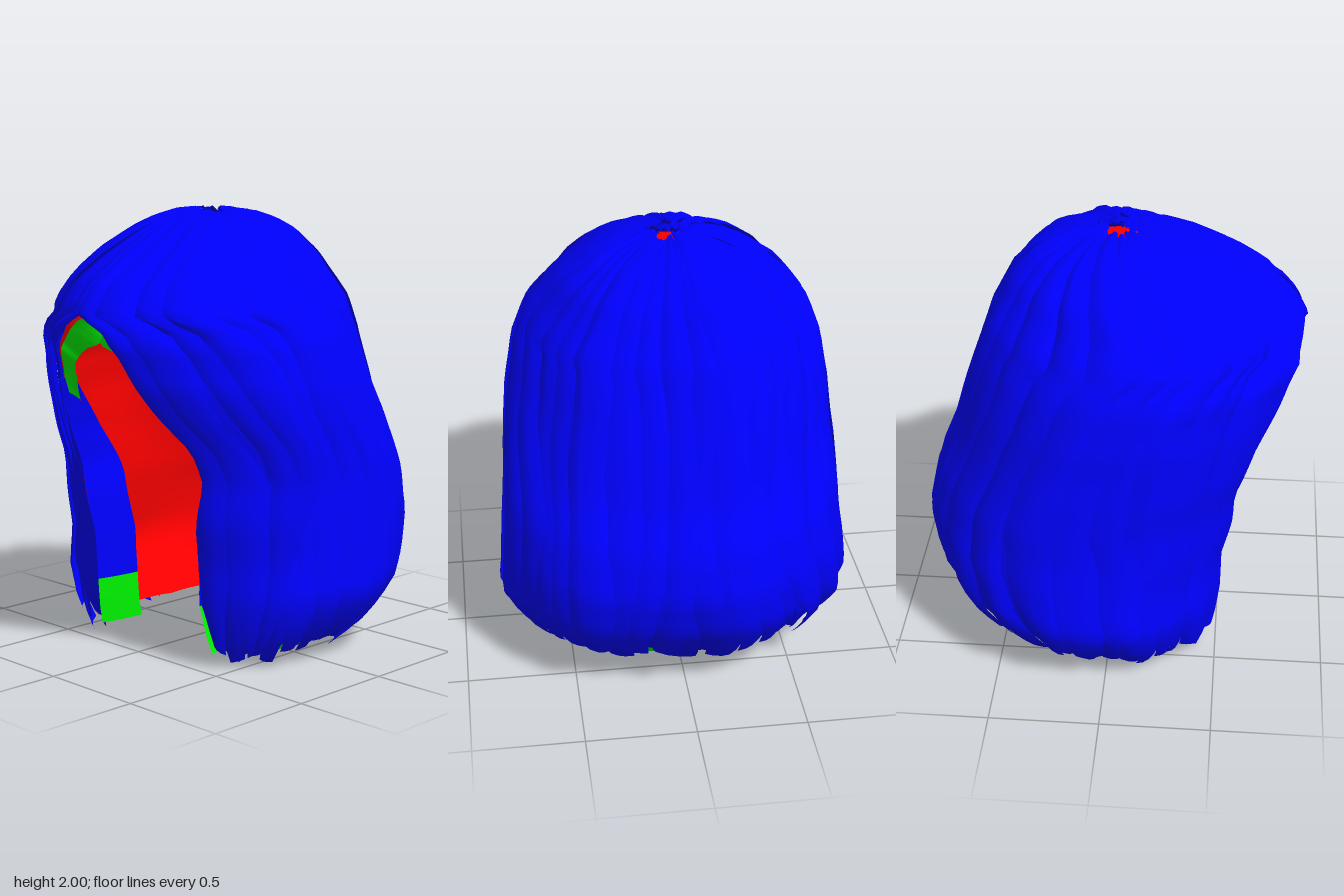
import * as THREE from 'three';
import { mergeGeometries } from 'three/addons/utils/BufferGeometryUtils.js';

// Profiles as [height, value] pairs, top to bottom
const WIDTH = [[2, 0], [1.985, 0.17], [1.95, 0.27], [1.9, 0.36], [1.8, 0.48], [1.6, 0.63], [1.45, 0.7],
  [1.25, 0.74], [1, 0.76], [0.7, 0.77], [0.5, 0.79], [0.32, 0.81], [0.15, 0.72], [0, 0.56]];
const FRONT = [[2, 0.02], [1.985, 0.19], [1.95, 0.31], [1.9, 0.42], [1.8, 0.6], [1.7, 0.75], [1.6, 0.83],
  [1.45, 0.88], [1.3, 0.84], [1.2, 0.79], [1, 0.68], [0.85, 0.61], [0.7, 0.59], [0.5, 0.54], [0.3, 0.53], [0, 0.5]];
const BACK = [[2, 0.02], [1.985, -0.17], [1.95, -0.27], [1.9, -0.36], [1.8, -0.46], [1.6, -0.57], [1.4, -0.63],
  [1.2, -0.69], [1, -0.75], [0.8, -0.84], [0.6, -0.875], [0.4, -0.83], [0.2, -0.69], [0, -0.5]];
const OPENING = [[1.56, 0], [1.54, 0.09], [1.5, 0.17], [1.42, 0.24], [1.3, 0.29], [1.15, 0.34], [1, 0.39],
  [0.85, 0.4], [0.7, 0.37], [0.5, 0.34], [0.3, 0.33], [0, 0.36]];

const clamp = THREE.MathUtils.clamp;
function lookup(table, y) {
  if (y >= table[0][0]) return table[0][1];
  for (let i = 1; i < table.length; i++) {
    const [y0, a] = table[i - 1], [y1, b] = table[i];
    if (y >= y1) return a + (b - a) * (y0 - y) / (y0 - y1);
  }
  return table[table.length - 1][1];
}

// Point on the head-of-hair surface: s runs from one front edge (-1) round
// the back (0) to the other (1); inset pulls inward, arch lowers the opening.
function surface(s, y, inset, arch = 0) {
  const yy = y - inset * clamp((y - 0.6) / 0.9, 0, 1);
  const full = lookup(WIDTH, y), front = lookup(FRONT, y), back = lookup(BACK, y);
  const w = full - inset * Math.min(1, full / 0.3);
  const d = (front - back) / 2 - inset * Math.min(1, full / 0.3);
  // rounder in front at the forehead, squarer at the side locks
  const nFront = 1.85 + 0.75 * clamp((1.35 - y) / 0.7, 0, 1);
  // opening slightly off centre below the brow
  const open = lookup(OPENING, yy + arch * clamp((y - 1.05) / 0.3, 0, 1))
    + Math.sign(s) * 0.03 * clamp((1.15 - y) / 0.2, 0, 1);
  const phi = s * (Math.PI - Math.asin(Math.pow(clamp(open / Math.max(w, 0.01), 0, 1), nFront / 2)));
  const sn = Math.sin(phi), cs = Math.cos(phi);
  const n = cs < 0 ? nFront : 2.1;
  const x = w * Math.sign(sn) * Math.pow(Math.abs(sn), 2 / n);
  const skew = cs < 0 ? -0.1 * cs * x * clamp((y - 1) / 0.3, 0, 1) : 0;
  return [
    x + 0.015 * clamp((1.4 - y) / 0.3, 0, 1) * clamp((y - 0.4) / 0.3, 0, 1),
    yy,
    (front + back) / 2 - d * Math.sign(cs) * Math.pow(Math.abs(cs), 2 / n) + skew,
  ];
}
const level = (u, end) => 2 - (2 - end) * Math.pow(u, 1.7);

// Sheet of quads from a function of (a, b), both 0..1
function sheet(f, cols, rows) {
  const pos = [], index = [];
  for (let j = 0; j <= rows; j++)
    for (let i = 0; i <= cols; i++) pos.push(...f(i / cols, j / rows));
  for (let j = 0; j < rows; j++)
    for (let i = 0; i < cols; i++) {
      const p = j * (cols + 1) + i, q = p + cols + 1;
      index.push(p, p + 1, q, p + 1, q + 1, q);
    }
  const g = new THREE.BufferGeometry();
  g.setAttribute('position', new THREE.Float32BufferAttribute(pos, 3));
  g.setIndex(index);
  g.computeVertexNormals();
  return g;
}

let seed = 7;
function rand() {
  seed = (seed * 16807) % 2147483647;
  return seed / 2147483647;
}

const capEnd = (s) => 0.06 + 0.08 * clamp(1 - Math.abs(s) / 0.5, 0, 1);
const hairEnd = (s) => 0.07 + 0.12 * clamp((0.5 - Math.abs(s)) / 0.15, 0, 1);

// One overlapping ribbon of hair, tilted like a shingle and tapered at the tip
function strand(center, width, inset) {
  const end = Math.max(0.01, hairEnd(center) + (rand() - 0.5) * 0.1);
  const start = 0.03 + rand() * 0.02;
  const tilt = (rand() - 0.5) * 0.04, phase = rand() * 6.28, wave = 0.012 + rand() * 0.016;
  const lean = (rand() - 0.5) * 0.1, taper = 0.2 + rand() * 0.35;
  return sheet((a, b) => {
    const u = start + (1 - start) * b;
    const tip = 1 - taper * clamp((b - 0.88) / 0.12, 0, 1);
    const across = a - 0.5;
    const s = center + across * width * tip + wave * Math.sin(u * 9 + phase) * u;
    const bulge = 0.012 * (1 - 4 * across * across) + 0.01 * Math.sin(u * 14 + phase) * u;
    const y = level(u, end + across * lean * b * b);
    return surface(clamp(s, -1, 1), y, inset + tilt * 2 * across * Math.min(1, b * 3) - bulge);
  }, 3, 44);
}

export function createModel() {
  const group = new THREE.Group();
  const add = (name, geometry, color) => {
    const material = new THREE.MeshStandardMaterial({ color, side: THREE.DoubleSide });
    const mesh = new THREE.Mesh(geometry, material);
    mesh.name = name;
    group.add(mesh);
  };

  // Cap under the hair: outer skin and lining
  const BAND = 0.93;
  const outer = (s, u) => surface(s, level(u, capEnd(s)), 0.065);
  const inner = (s, u) => surface(s, level(u, capEnd(s)), 0.13, 0.13);
  add('capOuter', sheet((a, b) => outer(a * 2 - 1, b * BAND), 48, 44), 0xff0000);
  add('capLining', sheet((a, b) => inner(a * 2 - 1, b), 48, 44), 0xff0000);

  // Edge of a side lock, turning back from the face opening
  const curl = (s, from, to, rows) => sheet((a, b) => {
    const u = from + (to - from) * b;
    const [x, y, z] = surface(s, level(u, capEnd(s)), 0.03);
    const grow = clamp((u - 0.56) / 0.2, 0, 1);
    return [x - s * 0.03 * grow * Math.sin(a * Math.PI / 2), y, z - a * (0.09 + 0.13 * grow)];
  }, 4, rows);

  // Rim: band round the hem, its underside, the arch over the face and the lower corners
  const mix = (p, q, t) => p.map((v, i) => v + (q[i] - v) * t);
  const rim = [
    sheet((a, b) => outer(a * 2 - 1, BAND + (1 - BAND) * b), 48, 3),
    sheet((a, b) => mix(outer(a * 2 - 1, 1), inner(a * 2 - 1, 1), b), 48, 1),
  ];
  for (const s of [-1, 1]) {
    rim.push(curl(s, BAND, 1, 3));
    rim.push(sheet((a, b) => mix(outer(s, 0.38 + 0.2 * b), inner(s, 0.38 + 0.2 * b), a), 1, 24));
  }
  add('capRim', mergeGeometries(rim), 0x00ff00);

  // Hair turning inward round both sides of the face opening
  add('hairEdge', mergeGeometries([-1, 1].map((s) => curl(s, 0.56, BAND, 20))), 0x0000ff);

  // Hair: an under layer and an over layer of ribbons from crown to hem
  [['hairUnderLayer', 30, 0.035, 1.4], ['hairOverLayer', 38, 0.008, 1.25]].forEach(([name, count, inset, overlap]) => {
    const strands = [];
    for (let i = 0; i < count; i++) {
      const center = -1 + (2 * i + 1) / count;
      strands.push(strand(center, (2 / count) * (overlap + rand() * 0.5), inset + (rand() - 0.5) * 0.024));
    }
    add(name, mergeGeometries(strands), 0x0000ff);
  });

  return group;
}
